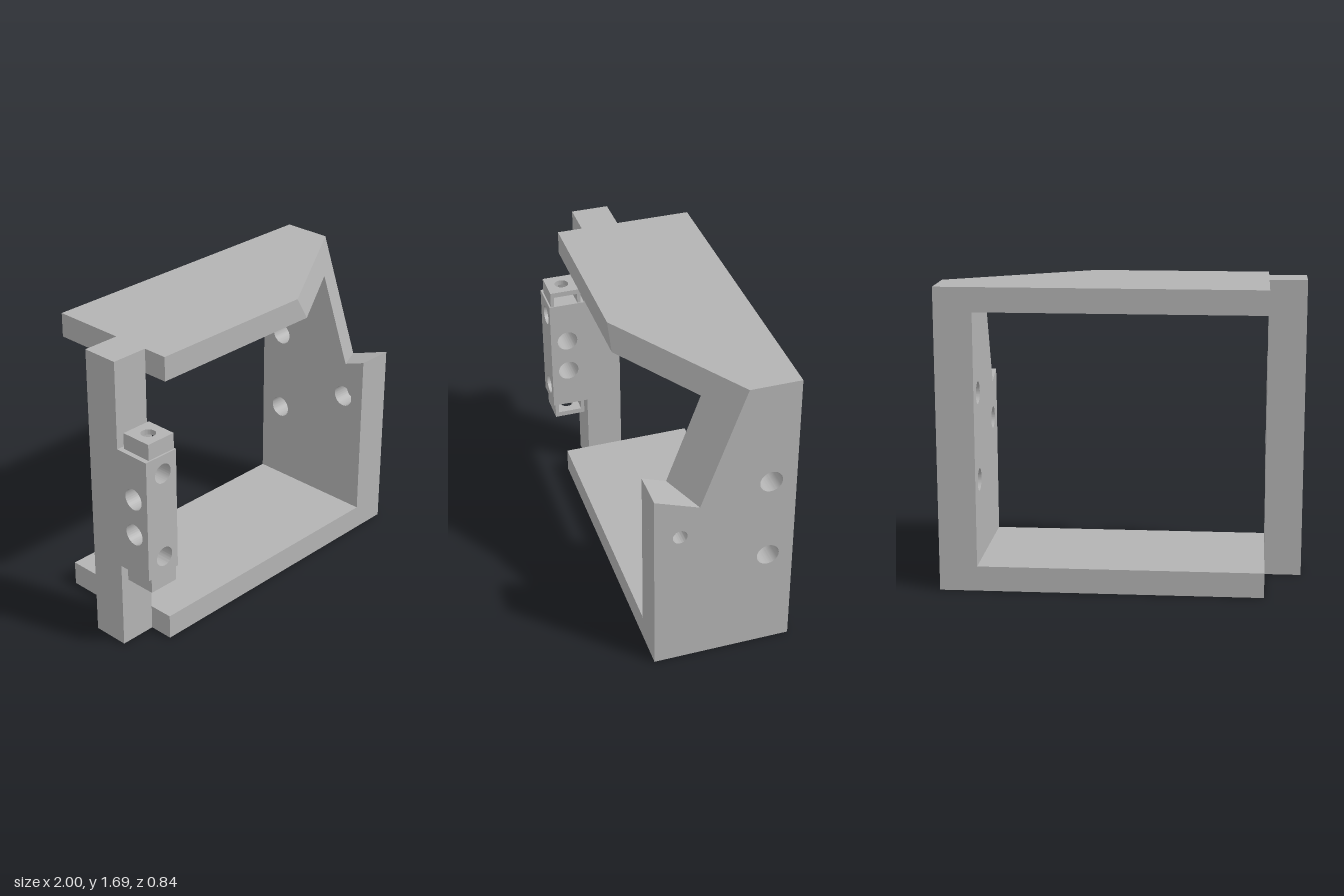
import * as THREE from 'three';
import { toCreasedNormals } from 'three/addons/utils/BufferGeometryUtils.js';

// Sloped plane that trims the top plate and the right-hand wall
const cutZ = (x, y) => -0.14 - 0.6125 * (x - 1) - 0.363 * (y - 1.69);
const cutX = (z, y) => 1 - (z + 0.14 + 0.363 * (y - 1.69)) / 0.6125;
// Ledge at the bottom of the trimmed corner
const ledgeY = z => 1.105 + (z - 0.35) * 0.367;

// Extrudes a polygon with round holes [u, v, r]; the far end may use another polygon
function prism(points, depth, holes = [], endPoints = points) {
  const shape = new THREE.Shape(points.map(p => new THREE.Vector2(...p)));
  for (const [u, v, r] of holes) {
    shape.holes.push(new THREE.Path().absarc(u, v, r, 0, Math.PI * 2, true));
  }
  const geo = new THREE.ExtrudeGeometry(shape, { depth, bevelEnabled: false, curveSegments: 32 });
  const pos = geo.attributes.position;
  for (let i = 0; i < pos.count; i++) {
    if (pos.getZ(i) < depth / 2) continue;
    const k = points.findIndex(p => Math.hypot(p[0] - pos.getX(i), p[1] - pos.getY(i)) < 1e-4);
    if (k >= 0) pos.setXY(i, ...endPoints[k]);
  }
  return toCreasedNormals(geo, 0.5);
}
const rect = (u0, u1, v0, v1) => [[u0, v0], [u1, v0], [u1, v1], [u0, v1]];
// Axis helpers: alongX takes (-z, y) outlines, alongY takes (x, -z) outlines
const alongX = (geo, x) => geo.rotateY(Math.PI / 2).translate(x, 0, 0);
const alongY = (geo, y) => geo.rotateX(-Math.PI / 2).translate(0, y, 0);

export function createModel() {
  const group = new THREE.Group();
  const gray = new THREE.MeshStandardMaterial({ color: 0xb3b3b3 });
  gray.name = 'gray';
  const add = (name, geo) => {
    const mesh = new THREE.Mesh(geo, gray);
    mesh.name = name;
    group.add(mesh);
  };
  const box = (name, x0, x1, y0, y1, z0, z1) => add(name,
    new THREE.BoxGeometry(x1 - x0, y1 - y0, z1 - z0)
      .translate((x0 + x1) / 2, (y0 + y1) / 2, (z0 + z1) / 2));

  // Frame: bottom plate and post
  box('bottomPlate', -0.79, 0.79, 0, 0.14, -0.42, 0.35);
  box('post', -1, -0.79, 0, 1.69, 0, 0.21);

  // Top plate with its slanted front corner
  const plate = y => [[-0.79, 0.42], [0.79, 0.42], [0.79, -cutZ(0.79, y)],
    [cutX(0.35, y), -0.35], [-0.79, -0.35]];
  add('topPlate', alongY(prism(plate(1.555), 0.135, [], plate(1.69)), 1.555));

  // Side wall in two layers, so the small hole widens towards the inside
  const wall = x => {
    // Where the sloped plane meets the ledge
    const z = (cutZ(x, 0) - 0.363 * (1.105 - 0.35 * 0.367)) / (1 + 0.363 * 0.367);
    return [[-0.35, 0], [0.42, 0], [0.42, 1.69], [-cutZ(x, 1.69), 1.69],
      [-z, ledgeY(z)], [-0.35, 1.105]];
  };
  for (const [name, x0, x1, r] of [['wallInner', 0.79, 0.9, 0.062], ['wallOuter', 0.9, 1, 0.04]]) {
    const holes = [[0.28, 1.09, 0.062], [0.28, 0.6, 0.062], [-0.21, 0.845, r]];
    add(name, alongX(prism(wall(x0), x1 - x0, holes, wall(x1)), x0));
  }

  // Clamp block: cross holes in the middle, front holes at both ends
  add('blockMiddle', alongX(prism(rect(-0.42, -0.21, 0.67, 1.03), 0.21,
    [[-0.32, 0.74, 0.06], [-0.32, 0.95, 0.06]]), -1));
  for (const [name, y0, y1, y] of [['blockLower', 0.5, 0.67, 0.6], ['blockUpper', 1.03, 1.2, 1.095]]) {
    add(name, prism(rect(-1, -0.79, y0, y1), 0.21, [[-0.895 + 0.01, y, 0.055]]).translate(0, 0, 0.21));
  }

  // Nut holders: side slot with a pointed end, closed by a drilled cap
  const slot = [[-0.972, -0.41], [-0.795, -0.41], [-0.795, -0.39], [-0.925, -0.39],
    [-0.965, -0.32], [-0.925, -0.25], [-0.795, -0.25], [-0.795, -0.23], [-0.972, -0.23]];
  const cap = rect(-0.972, -0.795, -0.41, -0.23);
  for (const [side, slotY, capY] of [['upper', 1.2, 1.26], ['lower', 0.44, 0.41]]) {
    add(side + 'NutSlot', alongY(prism(slot, 0.06), slotY));
    add(side + 'NutCap', alongY(prism(cap, 0.03, [[-0.885, -0.32, 0.04]]), capY));
  }
  return group;
}
